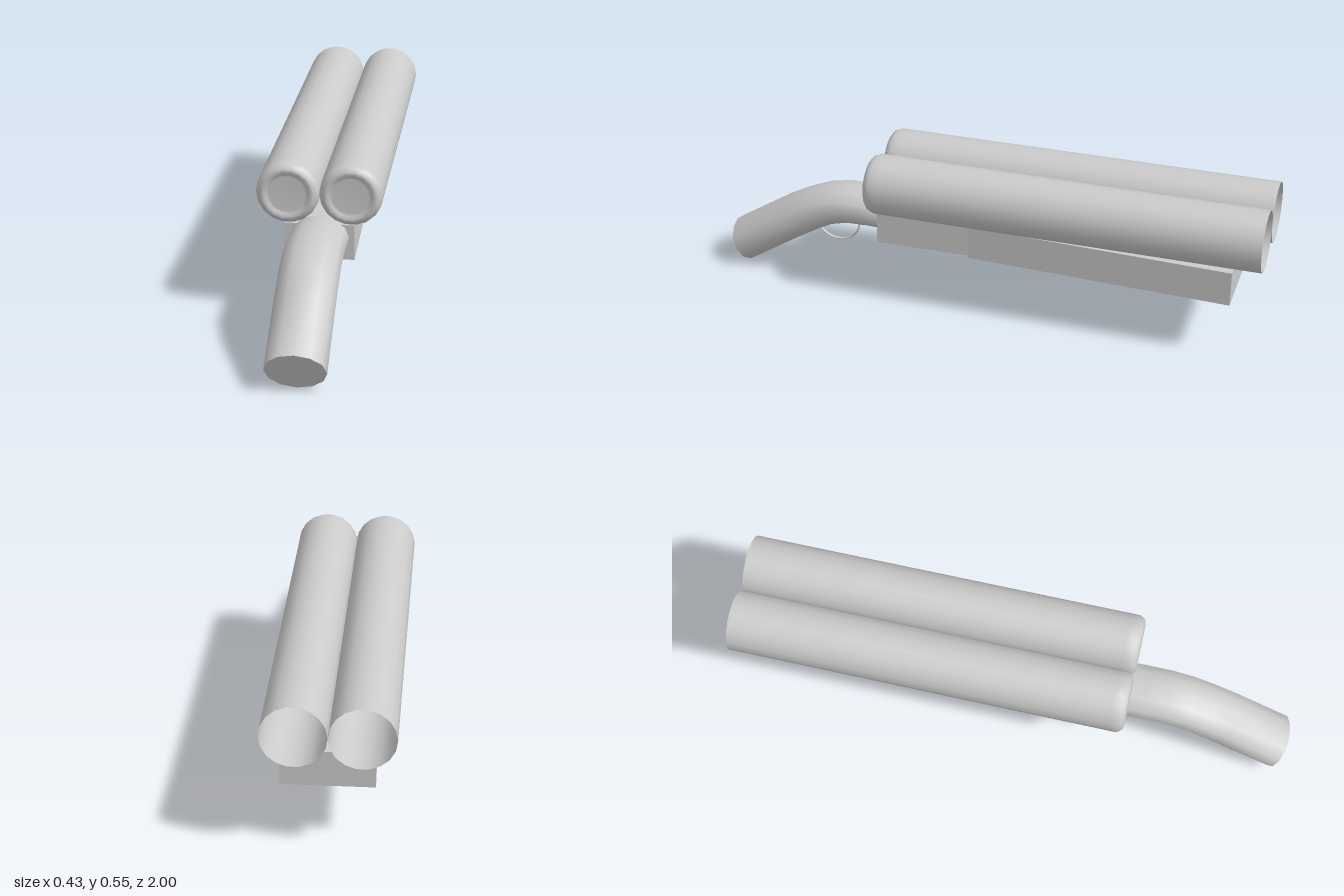
import * as THREE from 'three';

const grey = new THREE.MeshStandardMaterial({ color: 0xcccccc });
const greyDouble = new THREE.MeshStandardMaterial({ color: 0xcccccc, side: THREE.DoubleSide });

function add(group, name, geometry, material = grey) {
  const mesh = new THREE.Mesh(geometry, material);
  mesh.name = name;
  group.add(mesh);
  return mesh;
}

// Box along z whose left and right walls may differ at its two ends
function taperedBox(front, back, y0, y1) {
  const g = new THREE.BoxGeometry(1, 1, 1);
  const p = g.attributes.position;
  for (let i = 0; i < p.count; i++) {
    const end = p.getZ(i) > 0 ? front : back;
    p.setXYZ(i, p.getX(i) > 0 ? end.right : end.left, p.getY(i) > 0 ? y1 : y0, end.z);
  }
  g.computeVertexNormals();
  return g;
}

// Curved grip: oval rings swept through [z, y, half height, tilt]
function gripGeometry(sections, sides, halfWidth) {
  const pos = [], idx = [];
  for (const [z, y, h, tilt] of sections) {
    for (let j = 0; j < sides; j++) {
      const a = (j / sides) * Math.PI * 2;
      const s = Math.cos(a) * h;
      pos.push(Math.sin(a) * halfWidth, y + s * Math.cos(tilt), z + s * Math.sin(tilt));
    }
  }
  for (let i = 0; i < sections.length - 1; i++) {
    for (let j = 0; j < sides; j++) {
      const k = (j + 1) % sides;
      const a = i * sides + j, b = i * sides + k;
      idx.push(a, a + sides, b, b, a + sides, b + sides);
    }
  }
  const g = new THREE.BufferGeometry();
  g.setAttribute('position', new THREE.Float32BufferAttribute(pos, 3));
  g.setIndex(idx);
  g.computeVertexNormals();
  return g;
}

export function createModel() {
  const model = new THREE.Group();
  model.name = 'doubleBarrel';

  // Twin barrels: rounded, dished breech and open muzzle
  const profile = [
    [0, 0.402], [0.062, 0.402], [0.07, 0.405], [0.08, 0.411], [0.09, 0.409],
    [0.101, 0.4], [0.1075, 0.385], [0.1075, 0.36], [0.107, -0.6], [0.107, -1],
  ].map(([r, z]) => new THREE.Vector2(r, z));
  for (const side of [-1, 1]) {
    const barrel = new THREE.LatheGeometry(profile, 18, Math.PI / 18);
    barrel.rotateX(Math.PI / 2);
    barrel.translate(side * 0.107, 0.448, 0);
    add(model, side > 0 ? 'leftBarrel' : 'rightBarrel', barrel, greyDouble);
  }

  // Receiver and the flaring fore-end under the barrels
  add(model, 'receiver', taperedBox(
    { z: 0.39, left: -0.12, right: 0.12 }, { z: 0.03, left: -0.113, right: 0.113 }, 0.215, 0.34));
  add(model, 'foreEnd', taperedBox(
    { z: 0.045, left: -0.118, right: 0.122 }, { z: -0.9, left: -0.143, right: 0.161 }, 0.211, 0.337));

  // Grip bending down towards the front
  const sections = [
    [0.37, 0.294, 0.07, 0], [0.46, 0.297, 0.071, 0], [0.54, 0.296, 0.072, 0.07],
    [0.61, 0.281, 0.074, 0.22], [0.68, 0.249, 0.077, 0.4], [0.76, 0.205, 0.08, 0.47],
    [0.965, 0.076, 0.081, 0.45],
  ];
  const sides = 12, halfWidth = 0.101;
  add(model, 'grip', gripGeometry(sections, sides, halfWidth), greyDouble);

  // Flat butt closing the grip
  const [z, y, h, tilt] = sections[sections.length - 1];
  const butt = add(model, 'gripEnd', new THREE.CircleGeometry(1, sides), greyDouble);
  butt.scale.set(halfWidth, h, 1);
  butt.position.set(0, y, z);
  butt.rotation.x = tilt;

  // Thin trigger guard loop
  const guard = add(model, 'triggerGuard', new THREE.TorusGeometry(0.082, 0.004, 6, 28));
  guard.rotation.set(0.15, Math.PI / 2, 0, 'XYZ');
  guard.scale.set(1, 0.9, 1.5);
  guard.position.set(0, 0.208, 0.588);

  return model;
}
